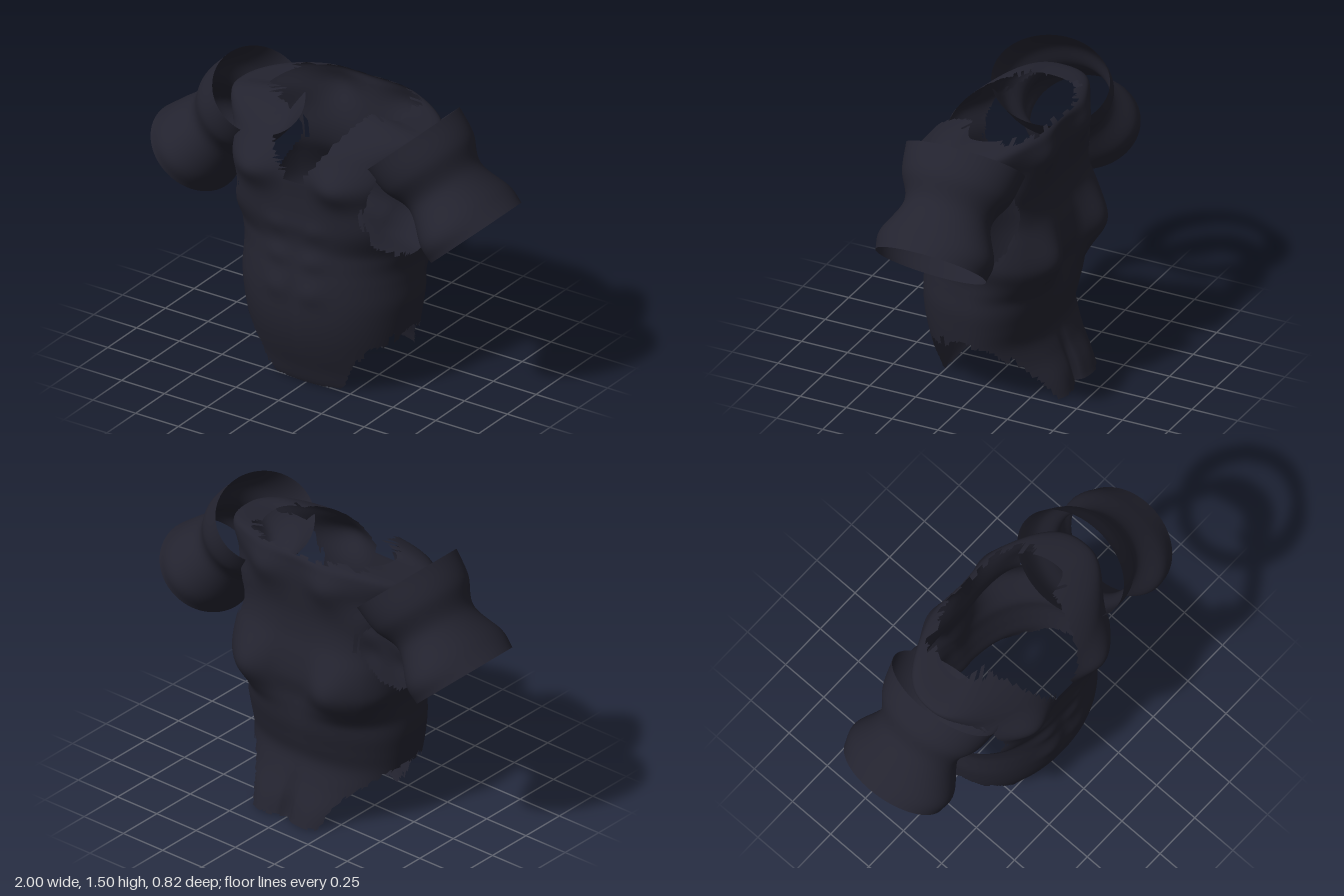
import * as THREE from 'three';

const cloth = new THREE.MeshStandardMaterial({ color: 0x23232f, side: THREE.DoubleSide });
cloth.name = 'darkCloth';
const smoothstep = THREE.MathUtils.smoothstep;

// repeatable noise in -1..1, used for the torn edges
const noise = (n) => {
  const s = Math.sin(n * 127.1 + 11.7) * 43758.5453;
  return (s - Math.floor(s)) * 2 - 1;
};

// closed tube of rows x cols; cells whose centre fails keep() are torn away
function skin(name, rows, cols, point, keep = () => true) {
  const pos = [], all = [], kept = [];
  for (let j = 0; j <= rows; j++)
    for (let i = 0; i < cols; i++) pos.push(...point(j / rows, (i / cols) * Math.PI * 2));
  const add = (a, b, c, col) => {
    all.push(a, b, c);
    const mid = [0, 1, 2].map((k) => (pos[a * 3 + k] + pos[b * 3 + k] + pos[c * 3 + k]) / 3);
    if (keep(...mid, col)) kept.push(a, b, c);
  };
  for (let j = 0; j < rows; j++)
    for (let i = 0; i < cols; i++) {
      const n = (i + 1) % cols, a = j * cols + i, b = j * cols + n;
      add(a, a + cols, b, i);
      add(b, a + cols, b + cols, i);
    }
  const full = new THREE.BufferGeometry();
  full.setAttribute('position', new THREE.Float32BufferAttribute(pos, 3));
  full.setIndex(all);
  full.computeVertexNormals();
  full.setIndex(kept);
  const mesh = new THREE.Mesh(full.toNonIndexed(), cloth);
  mesh.name = name;
  return mesh;
}

// torso profile: height, half width, front depth, back depth
const PROFILE = [
  [0.0, 0.42, 0.262, 0.38], [0.1, 0.425, 0.3, 0.352], [0.2, 0.435, 0.338, 0.308],
  [0.3, 0.45, 0.367, 0.275], [0.4, 0.463, 0.383, 0.295], [0.5, 0.472, 0.385, 0.318],
  [0.6, 0.466, 0.378, 0.325], [0.68, 0.465, 0.366, 0.32], [0.78, 0.485, 0.352, 0.315],
  [0.9, 0.472, 0.36, 0.31], [1.0, 0.45, 0.362, 0.295], [1.1, 0.452, 0.358, 0.288],
  [1.2, 0.49, 0.355, 0.295], [1.3, 0.545, 0.325, 0.3], [1.38, 0.57, 0.245, 0.3],
  [1.43, 0.52, 0.155, 0.297], [1.455, 0.38, 0.08, 0.265],
];
const heights = new THREE.SplineCurve(PROFILE.map(([y, w]) => new THREE.Vector2(y, w)));
const sizes = new THREE.CatmullRomCurve3(
  PROFILE.map(([, w, f, b]) => new THREE.Vector3(w, f, b)), false, 'catmullrom', 0.5);

// muscle swells: |x|, y, spread x, spread y, height
const FRONT = [
  [0.24, 1.16, 0.14, 0.1, 0.068], [0.1, 0.88, 0.07, 0.05, 0.012],
  [0.1, 0.72, 0.07, 0.05, 0.014], [0.1, 0.55, 0.07, 0.06, 0.014],
  [0, 0.5, 0.012, 0.2, -0.012], [0, 1.15, 0.04, 0.12, -0.012],
];
const BACK = [
  [0.25, 0.78, 0.15, 0.14, 0.095], [0.2, 1.32, 0.12, 0.1, 0.048],
  [0.17, 0.0, 0.12, 0.13, 0.04], [0, 0.8, 0.06, 0.35, -0.02], [0, 0.05, 0.025, 0.15, -0.035],
];
const swell = (list, x, y) => list.reduce((sum, [bx, by, sx, sy, h]) =>
  sum + h * Math.exp(-(((Math.abs(x) - bx) / sx) ** 2) - ((y - by) / sy) ** 2), 0);

function torsoPoint(t, a) {
  const size = sizes.getPoint(t), c = Math.cos(a), s = Math.sin(a);
  let y = Math.max(0, heights.getPoint(t).x);
  // round at the waist, squarer at the chest and upper back
  const square = s > 0 ? smoothstep(y, 0.75, 1) : smoothstep(y, 0.55, 0.78);
  const e = 2 / (2.15 + 1.85 * square - 1.6 * smoothstep(y, 1.1, 1.3));
  const x = size.x * Math.sign(c) * Math.abs(c) ** e;
  const lobes = s > 0 ? FRONT : BACK;
  const depth = (s > 0 ? size.y : size.z) * Math.abs(s) ** e
    + swell(lobes, x, y) * Math.min(1, Math.abs(s) * 1.5);
  // shoulder straps dip between the chest and the back
  y -= 0.03 * c ** 4 * smoothstep(y, 1.36, 1.45);
  return [x, y, Math.sign(s) * depth];
}

// torn hem, neckline and armholes
function torsoKeep(x, y, z, col) {
  const ax = Math.abs(x), rag = noise(Math.floor(col / 2)) * 0.02;
  const hem = ax < 0.2 ? 0 : ax < 0.3 ? (ax - 0.2) * 2 : 0.2 + (ax - 0.3) * 0.8;
  if (y < hem + rag * (ax < 0.2 ? 0.6 : 1.2)) return false;
  if (z > 0 && y > 1.1 + 1.38 * ax + rag * 0.8) return false;
  if (y > 1.445 + rag * 0.6) return false;
  const arm = Math.hypot((z - 0.03) / 0.29, (y - 1.04) / 0.29);
  return !(ax > 0.34 && arm < 1 + rag * 2);
}

// sleeve sections along the arm: distance from cuff, half height, half depth
const SLEEVE = new THREE.CatmullRomCurve3([
  [-0.55, 0.234, 0.312], [-0.41, 0.234, 0.285], [-0.27, 0.192, 0.226],
  [-0.1, 0.222, 0.3], [0, 0.243, 0.288],
].map((p) => new THREE.Vector3(...p)), false, 'catmullrom', 0.5);

function sleevePoint(side) {
  return (t, angle) => {
    const p = SLEEVE.getPoint(t), r = p.y * Math.cos(angle);
    return [
      side * (0.82 + 0.67 * p.x + 0.742 * r),
      0.94 - 0.742 * p.x + 0.67 * r,
      0.003 - side * p.z * Math.sin(angle),
    ];
  };
}

export function createModel() {
  const model = new THREE.Group();
  model.name = 'muscleShirt';
  model.add(skin('torso', 100, 150, torsoPoint, torsoKeep));
  model.add(skin('leftSleeve', 32, 72, sleevePoint(1)));
  model.add(skin('rightSleeve', 32, 72, sleevePoint(-1)));
  return model;
}
